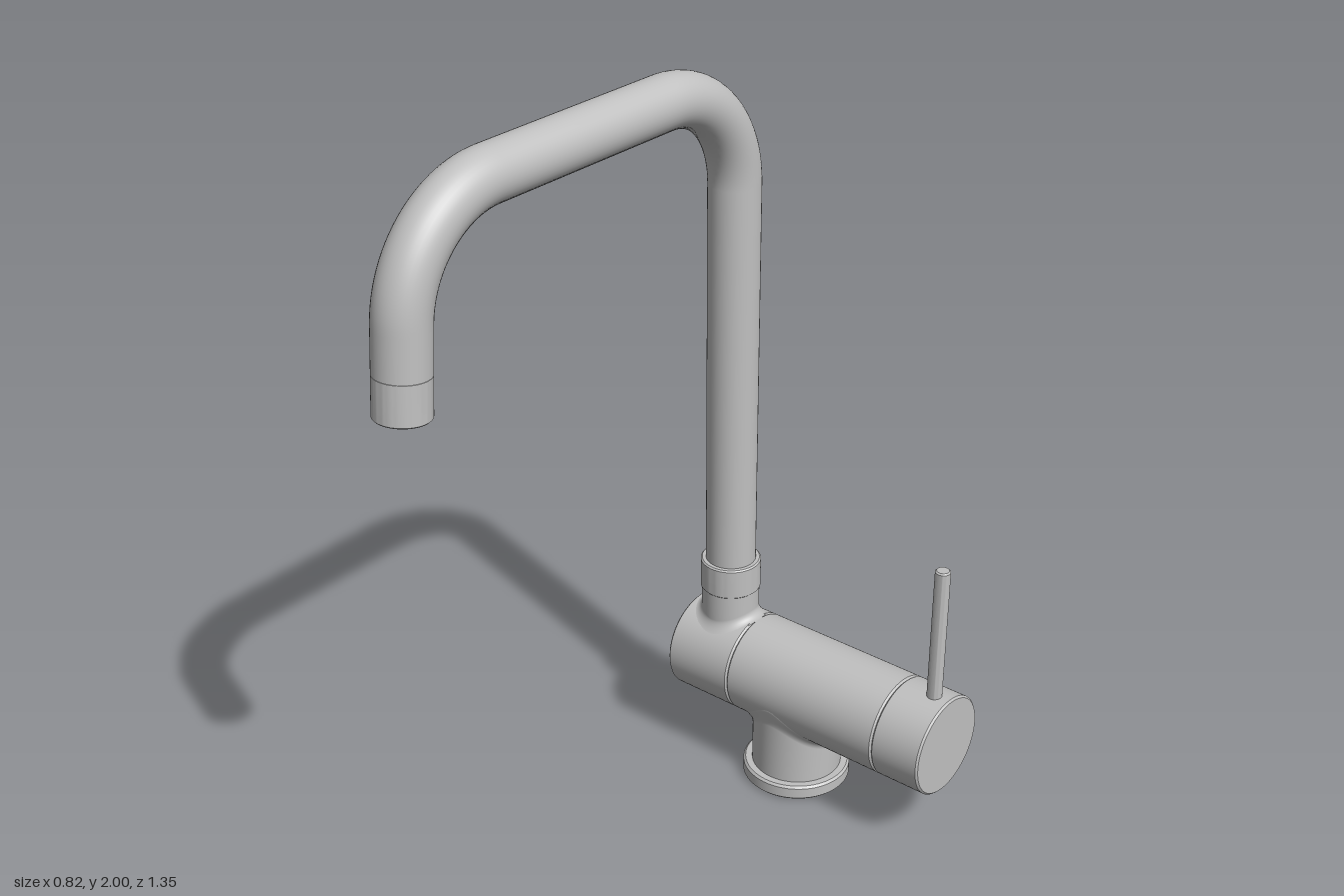
import * as THREE from 'three';
import { toCreasedNormals } from 'three/addons/utils/BufferGeometryUtils.js';

const BODY_Y = 0.297, BODY_Z = -0.528, BODY_R = 0.138;
const BASE_X = -0.067, SPOUT_X = -0.304, TUBE_R = 0.067;

const steel = new THREE.MeshStandardMaterial({ color: 0xc0c0c0 });
steel.name = 'brushed steel';

function part(name, geometry) {
  const mesh = new THREE.Mesh(geometry, steel);
  mesh.name = name;
  return mesh;
}

// Closed cylinder standing on its origin, with a small bevel at both ends
function bevelled(r, h, b) {
  const profile = [[0, 0], [r - b, 0], [r, b], [r, h - b], [r - b, h], [0, h]]
    .map(([x, y]) => new THREE.Vector2(x, y));
  return toCreasedNormals(new THREE.LatheGeometry(profile, 64), 0.5);
}

// Round neck that flares into the horizontal body; dir is 1 above it, -1 below it
function saddle(r, flare, x0, yEnd, dir) {
  const N = 64, rings = 9, pos = [], idx = [];
  for (let k = 0; k <= rings; k++) {
    const t = Math.max(0, k - 1) / (rings - 1) * Math.PI / 2;
    const grow = flare * (1 - Math.cos(t)), lift = flare * (1 - Math.sin(t));
    const rx = r + grow, rz = Math.min(r + grow, 0.134);
    for (let i = 0; i < N; i++) {
      const a = i / N * Math.PI * 2;
      const x = Math.cos(a) * rx, z = Math.sin(a) * rz;
      const rise = Math.sqrt(BODY_R ** 2 - z * z) + lift - 0.001;
      pos.push(x0 + x, k === 0 ? yEnd : BODY_Y + dir * rise, BODY_Z + z);
    }
  }
  for (let k = 0; k < rings; k++) for (let i = 0; i < N; i++) {
    const a = k * N + i, b = k * N + (i + 1) % N, c = a + N, d = b + N;
    if (dir > 0) idx.push(a, b, c, b, d, c);
    else idx.push(a, c, b, b, c, d);
  }
  const g = new THREE.BufferGeometry();
  g.setAttribute('position', new THREE.Float32BufferAttribute(pos, 3));
  g.setIndex(idx);
  g.computeVertexNormals();
  return g;
}

export function createModel() {
  const model = new THREE.Group();
  model.name = 'kitchen tap';

  // Horizontal body in three sections, with grooves formed by the bevels
  const sections = [['spoutSection', -0.41, -0.209], ['mainBody', -0.209, 0.266], ['handleCap', 0.266, 0.41]];
  for (const [name, x0, x1] of sections) {
    const m = part(name, bevelled(BODY_R, x1 - x0, 0.005));
    m.rotation.z = -Math.PI / 2;
    m.position.set(x0, BODY_Y, BODY_Z);
    model.add(m);
  }

  // Base flange and the neck that carries the body
  const flange = part('baseFlange', bevelled(0.146, 0.042, 0.006));
  flange.position.set(BASE_X, 0, BODY_Z);
  model.add(flange, part('baseNeck', saddle(0.122, 0.026, BASE_X, 0.03, -1)));

  // Spout socket and swivel collar
  const collar = part('swivelCollar', bevelled(0.081, 0.088, 0.004));
  collar.position.set(SPOUT_X, 0.508, BODY_Z);
  model.add(collar, part('spoutSocket', saddle(0.078, 0.022, SPOUT_X, 0.512, 1)));

  // Lever
  const lever = part('lever', bevelled(0.02, 0.4, 0.004));
  lever.position.set(0.362, 0.41, BODY_Z);
  model.add(lever);

  // Spout path: riser, bend, level run, bend and slightly tilted outlet
  const tilt = THREE.MathUtils.degToRad(5), turn = Math.PI / 2 - tilt;
  const R = 0.274, topY = 2 - TUBE_R;
  const v = (y, z) => new THREE.Vector3(SPOUT_X, y, z);
  const down = new THREE.Vector3(0, -Math.cos(tilt), Math.sin(tilt));
  const outlet = v(1.475, 0.607);
  const bendEnd = outlet.clone().addScaledVector(down, -0.21);
  const bendStart = v(topY, bendEnd.z - R * Math.sin(turn));
  const riserTop = v(topY - R, BODY_Z), runStart = v(topY, BODY_Z + R);
  const k1 = R * 0.5523, k2 = R * 4 / 3 * Math.tan(turn / 4);
  const tubeEnd = outlet.clone().addScaledVector(down, -0.1);
  const path = new THREE.CurvePath();
  path.add(new THREE.LineCurve3(v(0.55, BODY_Z), riserTop));
  path.add(new THREE.CubicBezierCurve3(riserTop, v(topY - R + k1, BODY_Z), v(topY, BODY_Z + R - k1), runStart));
  path.add(new THREE.LineCurve3(runStart, bendStart));
  path.add(new THREE.CubicBezierCurve3(bendStart, v(topY, bendStart.z + k2),
    bendEnd.clone().addScaledVector(down, -k2), bendEnd));
  path.add(new THREE.LineCurve3(bendEnd, tubeEnd));
  model.add(part('spoutTube', new THREE.TubeGeometry(path, 180, TUBE_R, 40)));

  // Aerator on the outlet
  const aerator = part('aerator', bevelled(TUBE_R, 0.102, 0.003));
  aerator.position.copy(outlet);
  aerator.rotation.x = -tilt;
  model.add(aerator);

  return model;
}
